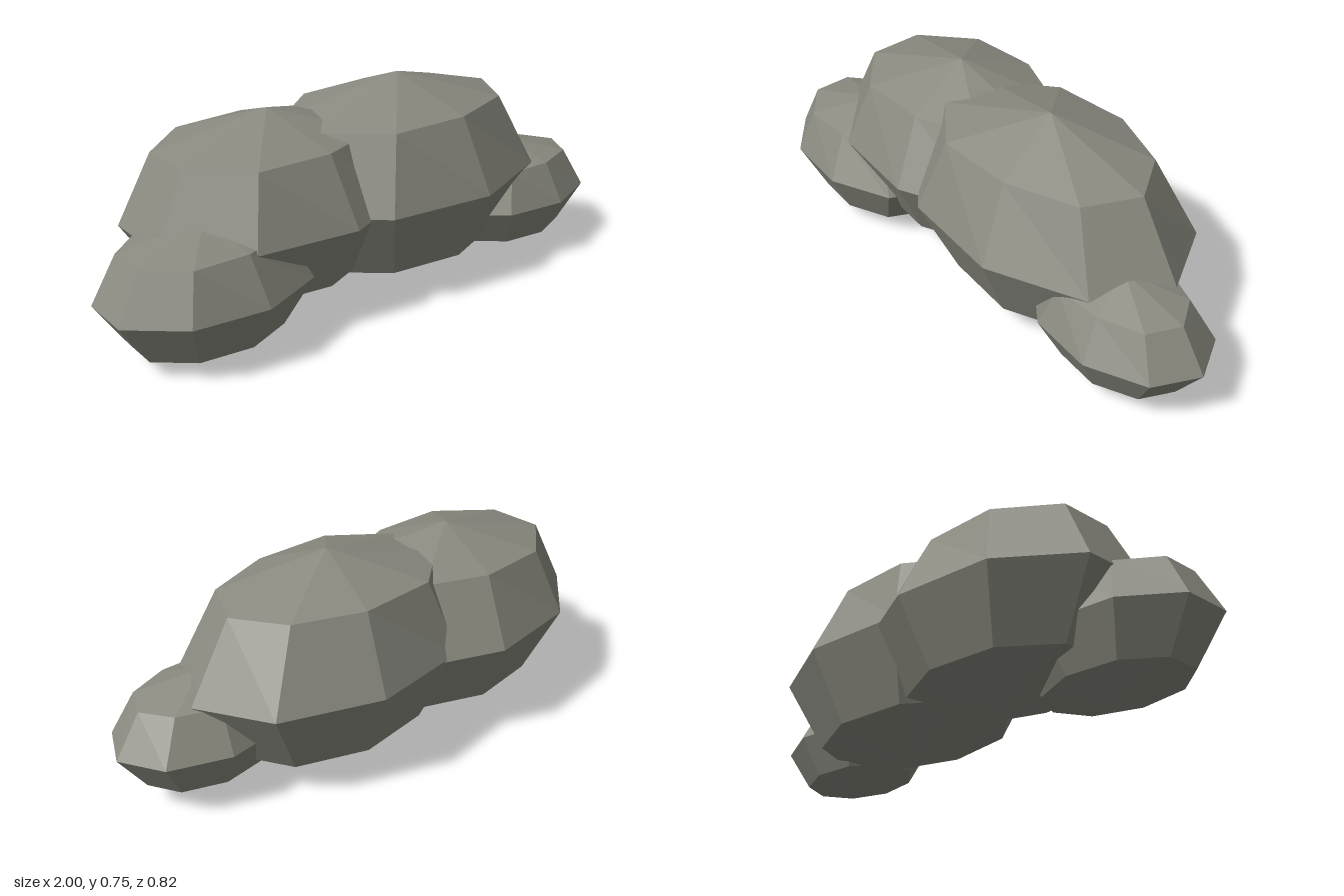
import * as THREE from 'three';

const SIDES = 9;
// Slight hand-chiselled widening of the upper ring, by corner angle
const UPPER = [0.72, 0.73, 0.70, 0.77, 0.77, 0.77, 0.76, 0.70, 0.69];

// A faceted, squashed nine-sided boulder
function boulder(name, material, [x, y, z], [rx, ry, rz]) {
  const geometry = new THREE.SphereGeometry(1, SIDES, 4, Math.PI, Math.PI * 2);
  const p = geometry.attributes.position;
  for (let i = 0; i < p.count; i++) {
    const radius = Math.hypot(p.getX(i), p.getZ(i));
    if (radius < 0.1 || p.getY(i) < 0.1) continue;
    const angle = Math.atan2(p.getZ(i), p.getX(i));
    const corner = (Math.round(angle / (Math.PI * 2) * SIDES) + SIDES) % SIDES;
    const k = UPPER[corner] / radius;
    p.setX(i, p.getX(i) * k);
    p.setZ(i, p.getZ(i) * k);
  }
  geometry.scale(rx, ry, rz);
  const flat = geometry.toNonIndexed();
  flat.computeVertexNormals();
  const mesh = new THREE.Mesh(flat, material);
  mesh.name = name;
  mesh.position.set(x, y, z);
  return mesh;
}

export function createModel() {
  const group = new THREE.Group();
  group.name = 'rockCluster';
  const stone = new THREE.MeshStandardMaterial({ color: 0x8a8a80, flatShading: true });
  stone.name = 'stone grey';

  // Two large overlapping boulders with a small one at each end
  group.add(
    boulder('largeLeftBoulder', stone, [0.21, 0.383, 0.02], [0.57, 0.367, 0.39]),
    boulder('largeRightBoulder', stone, [-0.30, 0.377, -0.035], [0.53, 0.333, 0.382]),
    boulder('smallRightBoulder', stone, [-0.64, 0.233, 0.115], [0.382, 0.229, 0.265]),
    boulder('smallLeftBoulder', stone, [0.66, 0.233, 0.13], [0.338, 0.198, 0.237])
  );
  return group;
}
